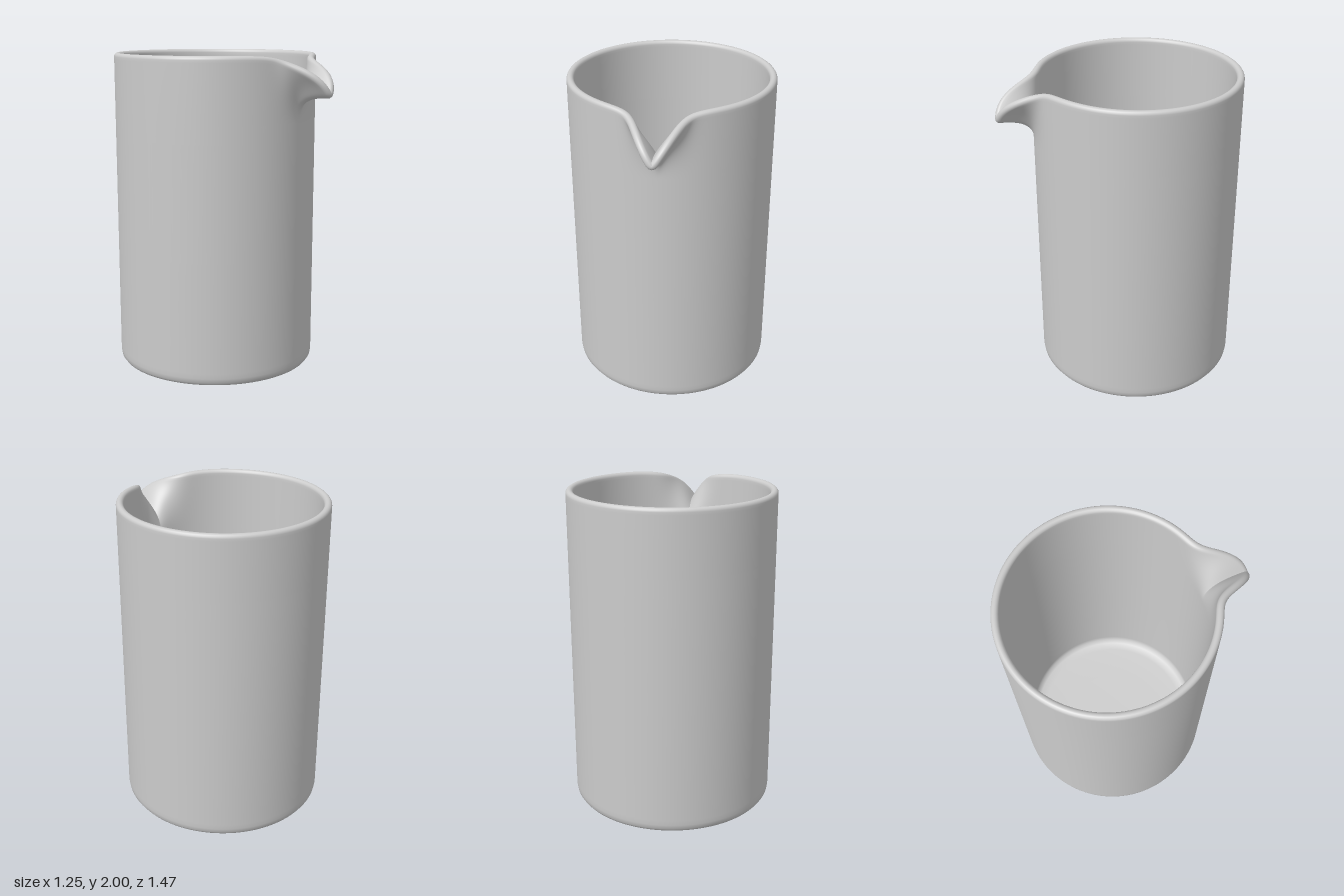
import * as THREE from 'three';

const SEG = 240;         // columns around the vessel, packed tighter at the spout
const HALF = 0.0225;     // half the wall thickness
const RADIUS = 0.6025;   // radius of the middle of the wall
const CENTRE_Z = -0.115; // axis of the cylinder
const FLARE_Y = 1.6;     // height where the spout starts to leave the wall
const RIM_Y = 2 - HALF;

// Middle of the wall at angle a (0 = front) and height y, with the pulled spout
function wall(a, y) {
  const t = Math.max(0, (y - FLARE_Y) / (RIM_Y - FLARE_Y));
  let r = RADIUS;
  if (t > 0) {
    const out = 0.225 * Math.exp(-((a / 0.18) ** 2));
    const drop = 0.235 * Math.exp(-Math.hypot(a, 0.02) / 0.12);
    const blend = Math.exp(-((a / 0.2) ** 2));
    const rise = THREE.MathUtils.lerp(t, Math.sin(t * Math.PI / 2), blend);
    r += out * t ** 2.5;
    y = FLARE_Y + (RIM_Y - drop - FLARE_Y) * rise;
  }
  return new THREE.Vector3(r * Math.sin(a), y, r * Math.cos(a) + CENTRE_Z);
}

// Point on the skin: phi 0 = outside, PI/2 = crest of the rim, PI = inside
function skin(a, y, phi) {
  const e = 0.002;
  const p = wall(a, y);
  const along = wall(a + e, y).sub(wall(a - e, y)).normalize();
  const up = p.clone().sub(wall(a, y - e));
  const normal = along.clone().cross(up).normalize();
  const crest = normal.clone().cross(along);
  return p.addScaledVector(normal, HALF * Math.cos(phi)).addScaledVector(crest, HALF * Math.sin(phi));
}

const ring = (r, y) => (a) => new THREE.Vector3(r * Math.sin(a), y, r * Math.cos(a) + CENTRE_Z);

function vesselGeometry() {
  const rows = [];
  // Gently domed underside with a rounded foot
  for (const [r, y] of [[0.0001, 0.004], [0.3, 0.008], [0.5, 0.02], [0.58, 0.034], [0.608, 0.046], [0.621, 0.064]]) {
    rows.push(ring(r, y));
  }
  // Outside wall, rounded rim, inside wall
  const heights = [0.09, 0.12, 0.8, 1.5];
  for (let i = 0; i <= 24; i++) heights.push(FLARE_Y + (RIM_Y - FLARE_Y) * i / 24);
  for (const y of heights) rows.push((a) => skin(a, y, 0));
  for (let i = 1; i < 8; i++) rows.push((a) => skin(a, RIM_Y, Math.PI * i / 8));
  for (const y of heights.slice(1).reverse()) rows.push((a) => skin(a, y, Math.PI));
  // Inside floor
  for (const [r, y] of [[0.574, 0.085], [0.55, 0.068], [0.5, 0.06], [0.3, 0.052], [0.0001, 0.05]]) {
    rows.push(ring(r, y));
  }

  const positions = [];
  const index = [];
  rows.forEach((row, k) => {
    for (let j = 0; j < SEG; j++) {
      const u = 2 * j / SEG - 1;
      positions.push(...row(Math.PI * (0.25 * u + 0.75 * u ** 3)).toArray());
      if (k === rows.length - 1) continue;
      const n = (j + 1) % SEG;
      const a = k * SEG + j, b = k * SEG + n;
      index.push(a, b, b + SEG, a, b + SEG, a + SEG);
    }
  });
  const geometry = new THREE.BufferGeometry();
  geometry.setAttribute('position', new THREE.Float32BufferAttribute(positions, 3));
  geometry.setIndex(index);
  geometry.computeVertexNormals();
  return geometry;
}

export function createModel() {
  const group = new THREE.Group();
  group.name = 'pouringBeaker';
  const material = new THREE.MeshStandardMaterial({ color: 0xcccccc, side: THREE.DoubleSide });
  const vessel = new THREE.Mesh(vesselGeometry(), material);
  vessel.name = 'vesselWithSpout';
  group.add(vessel);
  return group;
}
